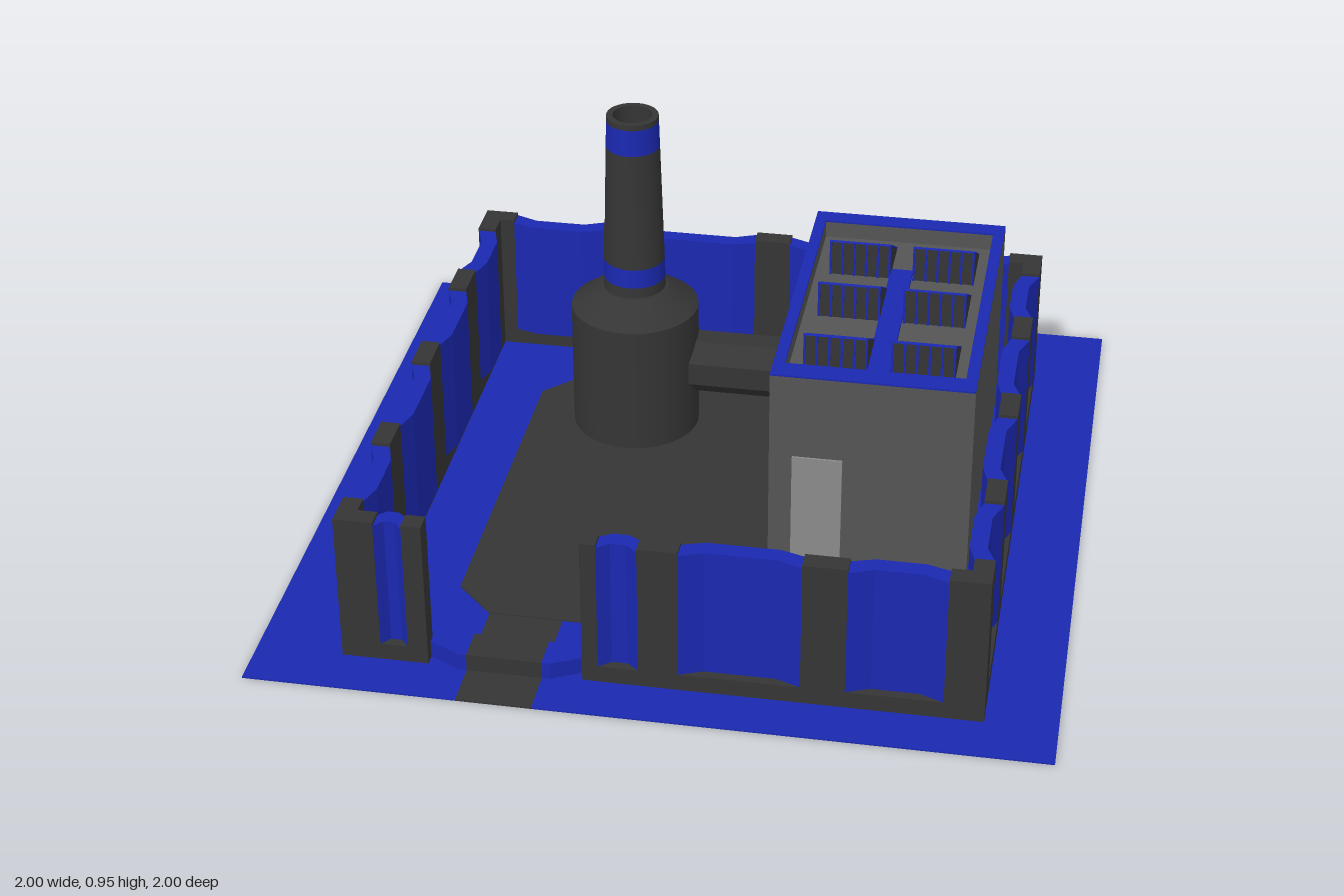
import * as THREE from 'three';

const mat = (color, opts = {}) => new THREE.MeshStandardMaterial({ color, ...opts });
const blue = mat(0x1a28b0), dark = mat(0x353535), grey = mat(0x555555), light = mat(0x8a8a8a);
const darkOpen = mat(0x353535, { side: THREE.DoubleSide });

function add(parent, name, geometry, material, x = 0, y = 0, z = 0) {
  const mesh = new THREE.Mesh(geometry, material);
  mesh.name = name;
  mesh.position.set(x, y, z);
  parent.add(mesh);
  return mesh;
}

// Box given by its lower and upper limits on each axis
function block(parent, name, material, [x0, x1], [y0, y1], [z0, z1]) {
  return add(parent, name, new THREE.BoxGeometry(x1 - x0, y1 - y0, z1 - z0), material,
    (x0 + x1) / 2, (y0 + y1) / 2, (z0 + z1) / 2);
}

// Upright prism from a plan outline of [x, -z] points
function prism(parent, name, material, points, y0, y1, holePoints) {
  const toVectors = (list) => list.map(([x, y]) => new THREE.Vector2(x, y));
  const shape = new THREE.Shape(toVectors(points));
  if (holePoints) shape.holes.push(new THREE.Path(toVectors(holePoints)));
  const geometry = new THREE.ExtrudeGeometry(shape, { depth: y1 - y0, bevelEnabled: false });
  geometry.rotateX(-Math.PI / 2);
  return add(parent, name, geometry, material, 0, y0, 0);
}

const rect = (x0, x1, y0, y1) => [[x0, y0], [x1, y0], [x1, y1], [x0, y1]];

// Wall run: dark pillars with recessed blue panels between them, on a dark plinth
function wall(parent, name, from, to, panels, position, turn) {
  const group = new THREE.Group();
  group.name = name;
  group.position.set(...position);
  group.rotation.y = turn;
  parent.add(group);
  prism(group, 'plinth', dark, rect(from, to, 0, 0.05), 0, 0.05);
  let start = from;
  for (const [a, b] of panels) {
    prism(group, 'pillar', dark, rect(start, a, 0, 0.05), 0.05, 0.41);
    const t = Math.min(0.06, (b - a) * 0.3), d = 0.024;
    prism(group, 'wallPanel', blue, [[a, 0], [a + t, d], [b - t, d], [b, 0],
      [b, 0.05], [b - t, 0.068], [a + t, 0.068], [a, 0.05]], 0.05, 0.402);
    start = b;
  }
  prism(group, 'pillar', dark, rect(start, to, 0, 0.05), 0.05, 0.41);
}

function addGround(root) {
  // Ground plate with a slot that the road fills
  prism(root, 'ground', blue, [[-1, -1], [-0.46, -1], [-0.46, 0.22], [-0.27, 0.22],
    [-0.27, -1], [1, -1], [1, 1], [-1, 1]], 0, 0.004);
  block(root, 'road', dark, [-0.46, -0.27], [0, 0.004], [-0.22, 1]);
  // Paved yard with cut corners
  prism(root, 'yard', dark, [[-0.56, -0.54], [-0.46, -0.64], [0.51, -0.64], [0.6, -0.55],
    [0.6, 0.53], [-0.46, 0.53], [-0.56, 0.43]], 0.004, 0.008);
}

function addWalls(root) {
  const side = [[-0.63, -0.39], [-0.28, 0.01], [0.12, 0.42], [0.52, 0.77]];
  const back = [[-0.69, -0.43], [-0.34, 0.01], [0.11, 0.37], [0.48, 0.73]];
  const flip = (list) => list.map(([a, b]) => [-b, -a]).reverse();
  wall(root, 'leftWall', -0.87, 0.74, flip(side), [0.82, 0, 0], Math.PI / 2);
  wall(root, 'rightWall', -0.74, 0.87, side, [-0.78, 0, 0], -Math.PI / 2);
  wall(root, 'backWall', -0.82, 0.78, flip(back), [0, 0, -0.74], Math.PI);
  wall(root, 'frontWallShort', -0.78, -0.56, [[-0.68, -0.61]], [0, 0, 0.87], 0);
  wall(root, 'frontWallLong', -0.17, 0.82, [[-0.13, -0.03], [0.07, 0.37], [0.48, 0.72]], [0, 0, 0.87], 0);

  // Low sill across the gate, with the road running over it
  prism(root, 'gateSill', blue, [[-0.56, -0.84], [-0.48, -0.88], [-0.46, -0.88], [-0.46, -0.79], [-0.56, -0.79]], 0.004, 0.05);
  prism(root, 'gateSill', blue, [[-0.27, -0.88], [-0.25, -0.88], [-0.17, -0.84], [-0.17, -0.79], [-0.27, -0.79]], 0.004, 0.05);
  block(root, 'gateRoad', dark, [-0.46, -0.27], [0.004, 0.05], [0.79, 0.88]);
}

// One tilted roof unit: wedge body, with a blue grid on the slope and the upright face
function addRoofUnit(parent, x, z) {
  const unit = new THREE.Group();
  unit.name = 'roofUnit';
  unit.position.set(x, 0.52, z);
  parent.add(unit);
  const w = 0.165, h = 0.1, d = 0.17;
  const profile = new THREE.Shape([[0, 0], [d, 0], [0, h]].map(([a, b]) => new THREE.Vector2(a, b)));
  const wedge = new THREE.ExtrudeGeometry(profile, { depth: w, bevelEnabled: false });
  wedge.rotateY(Math.PI / 2).translate(-w / 2, 0, 0);
  add(unit, 'wedge', wedge, dark);

  const slope = new THREE.Group();
  slope.name = 'slopeGrid';
  slope.position.set(0, h / 2, -d / 2);
  slope.rotation.x = -Math.atan2(h, d);
  unit.add(slope);
  const len = Math.hypot(h, d), bar = 0.006;
  for (let i = 0; i <= 5; i++) {
    const bx = (i / 5 - 0.5) * (w - bar);
    add(slope, 'gridBar', new THREE.BoxGeometry(bar, bar, len), blue, bx, 0, 0);
    add(unit, 'uprightBar', new THREE.BoxGeometry(bar, h, bar), blue, bx, h / 2, 0);
  }
  for (let i = 0; i <= 4; i++)
    add(slope, 'gridBar', new THREE.BoxGeometry(w, bar, bar), blue, 0, 0, (i / 4 - 0.5) * (len - bar));
}

function addBuilding(root) {
  const hall = new THREE.Group();
  hall.name = 'hall';
  root.add(hall);
  block(hall, 'hallBody', grey, [0.2, 0.72], [0.004, 0.52], [-0.6, 0.28]);
  const outer = rect(0.2, 0.72, -0.28, 0.6), inner = rect(0.23, 0.69, -0.22, 0.55);
  prism(hall, 'parapet', grey, outer, 0.52, 0.565, inner);
  prism(hall, 'parapetCap', blue, outer, 0.565, 0.57, inner);
  block(hall, 'door', light, [0.26, 0.39], [0.004, 0.33], [0.28, 0.286]);
  block(hall, 'roofWalkway', blue, [0.43, 0.49], [0.52, 0.53], [-0.38, 0.22]);
  block(hall, 'walkwayPad', blue, [0.39, 0.53], [0.52, 0.529], [0.155, 0.17]);
  for (const z of [0.155, -0.115, -0.345])
    for (const x of [0.35, 0.575]) addRoofUnit(hall, x, z);
}

function addChimney(root) {
  const chimney = new THREE.Group();
  chimney.name = 'chimney';
  chimney.position.set(-0.27, 0, -0.35);
  root.add(chimney);
  const tube = (name, r0, r1, y0, y1, material) => add(chimney, name,
    new THREE.CylinderGeometry(r1, r0, y1 - y0, 32, 1, true), material, 0, (y0 + y1) / 2, 0);
  tube('tank', 0.175, 0.175, 0.004, 0.375, dark);
  tube('tankShoulder', 0.175, 0.092, 0.375, 0.435, dark);

  // Tapering stack with two painted bands
  const radius = (y) => 0.085 - (y - 0.435) * 0.029;
  const levels = [0.435, 0.465, 0.52, 0.86, 0.935, 0.95];
  for (let i = 0; i < levels.length - 1; i++) {
    const [a, b] = [levels[i], levels[i + 1]];
    tube(i % 2 ? 'stackBand' : 'stack', radius(a), radius(b), a, b, i % 2 ? blue : dark);
  }
  add(chimney, 'stackFoot', new THREE.RingGeometry(0.08, 0.092, 32).rotateX(-Math.PI / 2), dark, 0, 0.435, 0);
  add(chimney, 'stackRim', new THREE.RingGeometry(0.053, radius(0.95), 32).rotateX(-Math.PI / 2), dark, 0, 0.95, 0);
  add(chimney, 'flue', new THREE.CylinderGeometry(0.053, 0.053, 0.2, 32, 1, true), darkOpen, 0, 0.85, 0);
  add(chimney, 'flueFloor', new THREE.CircleGeometry(0.053, 32).rotateX(-Math.PI / 2), dark, 0, 0.75, 0);

  // Duct from the tank to the hall
  const duct = new THREE.CylinderGeometry(0.085, 0.085, 0.37, 8);
  duct.rotateY(Math.PI / 8).rotateZ(Math.PI / 2);
  add(root, 'duct', duct, mat(0x353535, { flatShading: true }), 0.03, 0.2, -0.36);
}

export function createModel() {
  const root = new THREE.Group();
  root.name = 'powerStation';
  addGround(root);
  addWalls(root);
  addBuilding(root);
  addChimney(root);
  return root;
}
